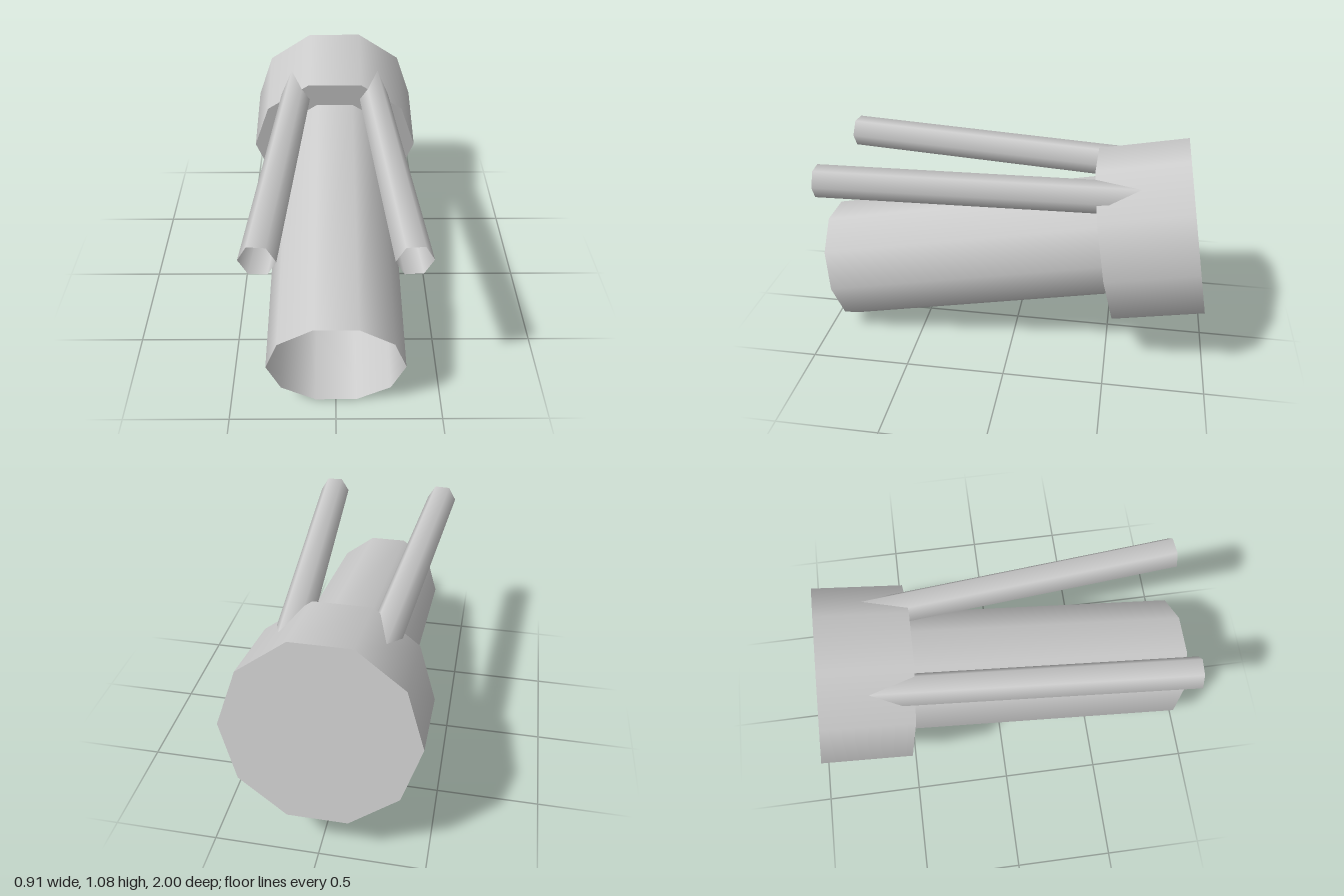
import * as THREE from 'three';

export function createModel() {
  const model = new THREE.Group();
  const grey = new THREE.MeshStandardMaterial({ color: 0xcccccc, side: THREE.DoubleSide });
  grey.name = 'grey';

  // Cylinder between two centre points, with flat sides facing up and down
  function tube(name, front, back, frontRadius, backRadius, sides, open) {
    const a = new THREE.Vector3(...front);
    const b = new THREE.Vector3(...back);
    const geometry = new THREE.CylinderGeometry(
      frontRadius, backRadius, a.distanceTo(b), sides, 1, open, Math.PI / 2);
    geometry.rotateX(Math.PI / 2);
    const mesh = new THREE.Mesh(geometry, grey);
    mesh.name = name;
    mesh.position.copy(a).add(b).multiplyScalar(0.5);
    mesh.lookAt(a);
    model.add(mesh);
  }

  // Wide hollow barrel, open at the front
  tube('barrel', [0, 0.3025, 0.9425], [0, 0.574, -0.475], 0.3186, 0.312, 10, true);

  // Closed drum at the rear
  tube('rearDrum', [0, 0.575, -0.475], [0, 0.6575, -0.9175], 0.453, 0.453, 10, false);

  // Two thin hollow pipes running into the drum
  for (const side of [1, -1]) {
    tube(side > 0 ? 'leftPipe' : 'rightPipe',
      [side * 0.32, 0.937, 0.938], [side * 0.195, 0.896, -0.68], 0.08, 0.08, 6, true);
  }

  return model;
}
